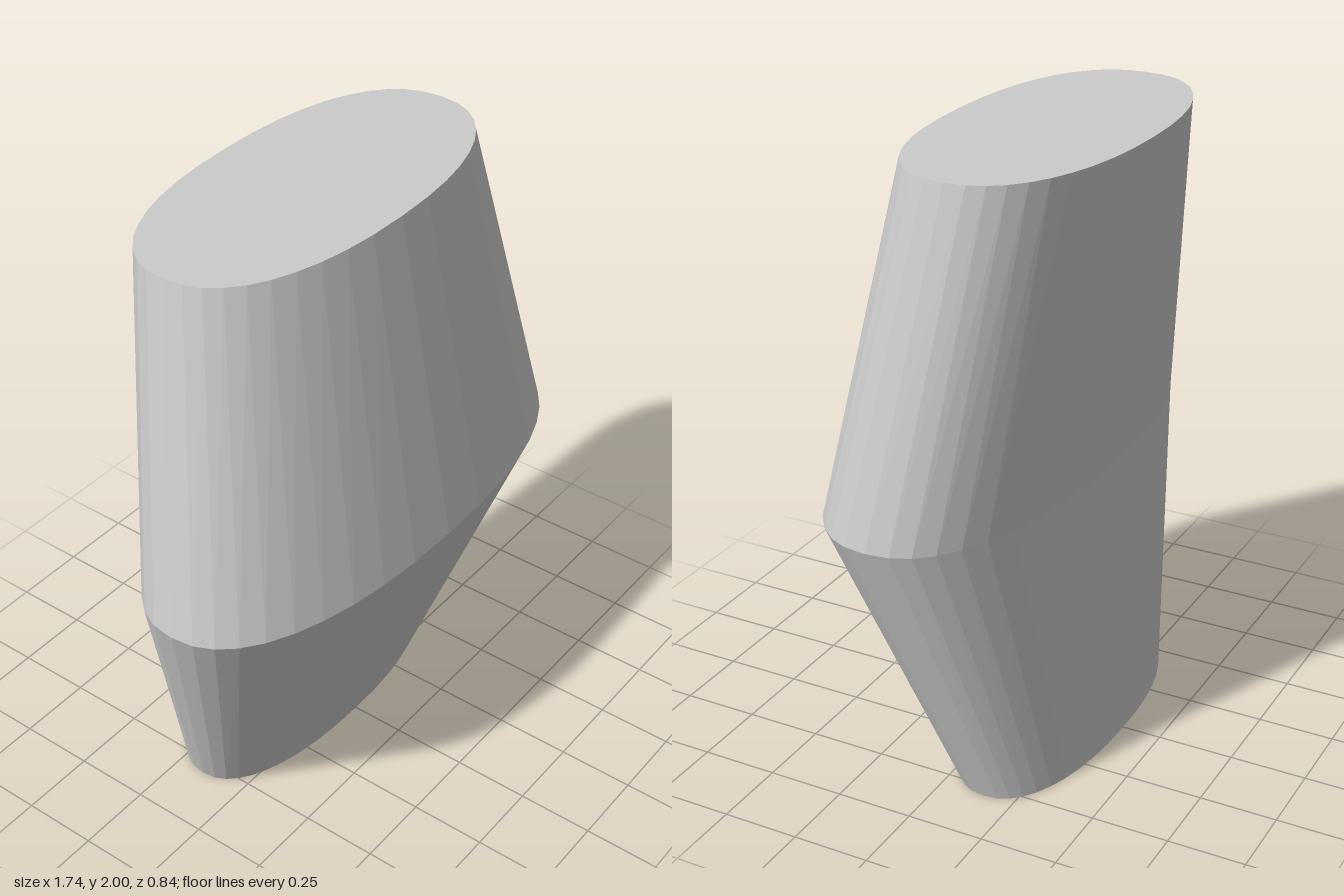
import * as THREE from 'three';

// Ring sections, bottom to top: height, half width, back z, front z
const SECTIONS = [
  { y: 0, halfWidth: 0.55, back: -0.37, front: 0.07 },
  { y: 0.95, halfWidth: 0.87, back: -0.32, front: 0.42 },
  { y: 2, halfWidth: 0.65, back: -0.42, front: 0.22 },
];

// Rounds a circle coordinate out towards a slightly squared oval
const squarish = (v) => (Math.abs(v) < 1e-6 ? 0 : Math.sign(v) * Math.abs(v) ** (2 / 2.3));

export function createModel() {
  const group = new THREE.Group();
  group.name = 'torsoBlock';

  // Capped cylinder with one middle ring, each ring reshaped to its section
  const geometry = new THREE.CylinderGeometry(1, 1, 2, 40, 2);
  const position = geometry.attributes.position;
  for (let i = 0; i < position.count; i++) {
    const s = SECTIONS[Math.round(position.getY(i)) + 1];
    const x = squarish(position.getX(i)) * s.halfWidth;
    const z = (s.front + s.back) / 2 + (squarish(position.getZ(i)) * (s.front - s.back)) / 2;
    position.setXYZ(i, x, s.y, z);
  }
  const faceted = geometry.toNonIndexed();
  faceted.computeVertexNormals();

  const body = new THREE.Mesh(
    faceted,
    new THREE.MeshStandardMaterial({ color: 0xcccccc, flatShading: true })
  );
  body.name = 'body';
  group.add(body);
  return group;
}
